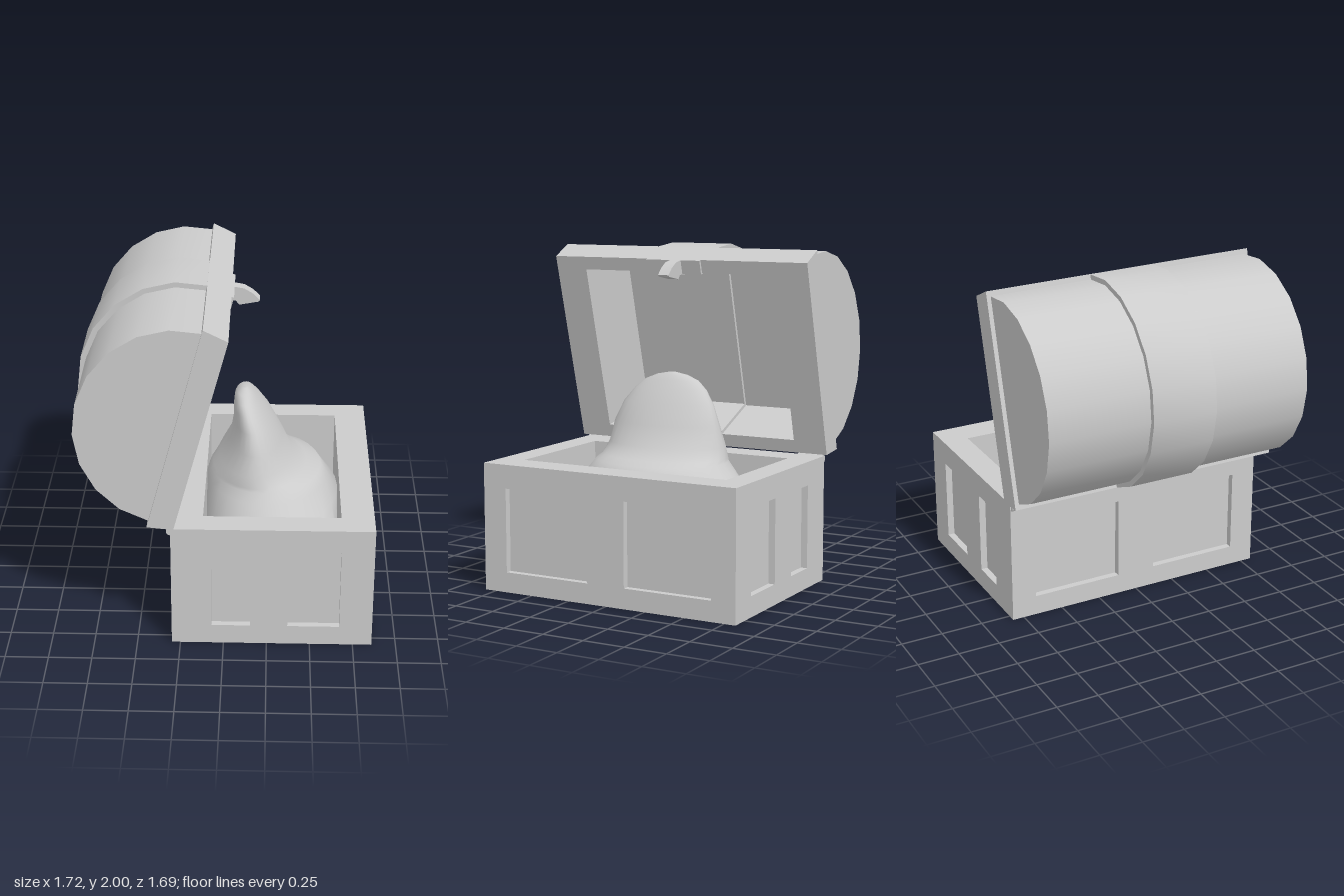
import * as THREE from 'three';
import { toCreasedNormals } from 'three/addons/utils/BufferGeometryUtils.js';

const material = new THREE.MeshStandardMaterial({ color: 0xcccccc, side: THREE.DoubleSide });

function add(parent, name, geometry, x = 0, y = 0, z = 0) {
  const mesh = new THREE.Mesh(geometry, material);
  mesh.name = name;
  mesh.position.set(x, y, z);
  parent.add(mesh);
  return mesh;
}

// Skin between equal-length loops of points, with optional end caps
function loft(loops, capStart, capEnd, crease) {
  const n = loops[0].length, index = [];
  loops.slice(1).forEach((_, r) => {
    for (let i = 0; i < n; i++) {
      const a = r * n + i, b = r * n + (i + 1) % n;
      index.push(a, a + n, b, b, a + n, b + n);
    }
  });
  const last = (loops.length - 1) * n;
  for (let i = 1; i < n - 1; i++) {
    if (capStart) index.push(0, i, i + 1);
    if (capEnd) index.push(last, last + i + 1, last + i);
  }
  const g = new THREE.BufferGeometry();
  g.setAttribute('position', new THREE.Float32BufferAttribute(loops.flat(2), 3));
  g.setIndex(index);
  if (crease) return toCreasedNormals(g, crease);
  g.computeVertexNormals();
  return g;
}

const polygon = (points) => new THREE.Shape(points.map(([x, y]) => new THREE.Vector2(x, y)));

// Profile in x and y, extruded from z0 to z1
function slab(points, z0, z1) {
  const g = new THREE.ExtrudeGeometry(polygon(points), { depth: z1 - z0, bevelEnabled: false });
  g.translate(0, 0, z0);
  return toCreasedNormals(g, 0.5);
}

const rect = (x0, x1, y0, y1) => [[x0, y0], [x1, y0], [x1, y1], [x0, y1]];

// ---- Chest body ----
const X0 = -0.3, X1 = 0.86, Z = 0.82, H = 0.755, RECESS = 0.04;

function panelWall(a0, a1, panels) {
  const shape = polygon(rect(a0, a1, 0, H));
  for (const [p0, p1] of panels) shape.holes.push(polygon(rect(p0, p1, 0.12, 0.615)));
  return new THREE.ExtrudeGeometry(shape, { depth: RECESS, bevelEnabled: false });
}

function buildBody(parent) {
  const body = new THREE.Group();
  body.name = 'chestBody';
  parent.add(body);

  // Hollow core: outside, top rim, cavity and floor in one skin
  const loop = (x0, x1, z, y) => rect(x0, x1, -z, z).map(([x, w]) => [x, y, w]);
  const outer = (y) => loop(X0 + RECESS, X1 - RECESS, Z - RECESS, y);
  const inner = (y) => loop(-0.12, 0.67, 0.665, y);
  add(body, 'bodyCore', loft([outer(0), outer(H), inner(H), inner(0.1)], true, true, 0.5));

  // Walls with two sunken panels each
  const endPanels = [[-0.07, 0.155], [0.37, 0.67]];
  const longPanels = [[-0.67, -0.12], [0.12, 0.67]];
  add(body, 'frontWall', panelWall(X0, X1, endPanels), 0, 0, Z - RECESS);
  add(body, 'backWall', panelWall(X0, X1, endPanels), 0, 0, -Z);
  for (const [name, x] of [['leftWall', X1 - RECESS], ['rightWall', X0]]) {
    add(body, name, panelWall(-Z + RECESS, Z - RECESS, longPanels), x).rotation.y = Math.PI / 2;
  }

  // Hinge barrels
  for (const z of [-0.735, 0.735]) {
    add(body, 'hinge', new THREE.CylinderGeometry(0.025, 0.025, 0.16, 10), -0.3, 0.737, z).rotation.x = Math.PI / 2;
  }
}

// ---- Mound heaped inside ----
function buildMound(parent) {
  // height, x from, x to, half width in z
  const rows = [
    [0.3, -0.22, 0.82, 0.72], [0.45, -0.19, 0.76, 0.65], [0.6, -0.15, 0.67, 0.53],
    [0.7, -0.12, 0.6, 0.45], [0.755, -0.1, 0.565, 0.405], [0.775, -0.085, 0.48, 0.395],
    [0.84, -0.05, 0.39, 0.375], [0.96, 0.02, 0.33, 0.345], [1.08, 0.04, 0.265, 0.295],
    [1.16, 0.04, 0.21, 0.235], [1.21, 0.045, 0.172, 0.175], [1.24, 0.06, 0.145, 0.1],
    [1.255, 0.09, 0.12, 0.02],
  ];
  const sides = 28;
  const clamp = THREE.MathUtils.clamp;
  const loops = rows.map(([y, x0, x1, w]) => Array.from({ length: sides }, (_, i) => {
    const a = i / sides * Math.PI * 2;
    const x = (x0 + x1) / 2 + Math.cos(a) * (x1 - x0) / 2;
    const z = -0.015 + Math.sin(a) * w;
    return [clamp(x, -0.12, 0.67), y, clamp(z, -0.665, 0.665)];
  }));
  add(parent, 'mound', loft(loops, false, true));
}

// ---- Open lid: local y runs up the opening, -x runs into the lid ----
function buildLid(parent) {
  const lid = new THREE.Group();
  lid.name = 'lid';
  lid.position.set(-0.28, 0.765, 0);
  lid.rotation.z = -0.263;
  parent.add(lid);

  // Rim and tapered cavity as one skin
  const loop = (x, y0, y1, z) => rect(y0, y1, -z, z).map(([y, w]) => [x, y, w]);
  add(lid, 'lidRim', loft([
    loop(-0.35, 0.128, 1.06, 0.55), loop(0, 0.08, 1.11, 0.64),
    loop(0, 0, 1.19, 0.845), loop(-0.149, -0.025, 1.22, 0.845), loop(-0.149, 0.05, 1.14, 0.75),
  ], true, false, 0.3));

  // Rounded skin: a half ellipse in ten facets
  const arc = (depth, half) => Array.from({ length: 11 }, (_, i) => {
    const a = i / 10 * Math.PI;
    return [-0.149 - Math.sin(a) * depth, 0.597 - Math.cos(a) * half];
  });
  const skin = (points, z0, z1) => {
    const loops = [z0, z1].map((z) => points.map(([x, y]) => [x, y, z]));
    // Drop the closing strip so the cavity stays clear
    const g = loft(loops, false, false);
    g.setIndex(Array.from(g.index.array).slice(0, -6));
    return toCreasedNormals(g, 0.5);
  };
  add(lid, 'lidBarrel', skin(arc(0.56, 0.592), -0.82, 0.82));
  add(lid, 'lidBand', skin(arc(0.592, 0.622), -0.2, 0.2));

  // End faces of the barrel and the raised edges of the band
  for (const side of [-1, 1]) {
    add(lid, 'lidEnd', new THREE.ShapeGeometry(polygon(arc(0.56, 0.592)), 1), 0, 0, side * 0.82);
    const edge = polygon(arc(0.592, 0.622).concat(arc(0.55, 0.58).reverse()));
    add(lid, 'bandEdge', new THREE.ShapeGeometry(edge, 1), 0, 0, side * 0.2);
  }

  // Band carried over the rim and through the cavity
  add(lid, 'bandTopTab', slab(rect(-0.02, 0.015, 1.105, 1.19), -0.16, 0.2));
  add(lid, 'bandBottomTab', slab(rect(-0.02, 0.012, 0.0, 0.09), -0.16, 0.2));
  add(lid, 'bandLining', slab(rect(-0.35, -0.33, 0.127, 1.06), -0.16, 0.16));
  add(lid, 'bandLowerLining', slab([[0, 0.08], [-0.35, 0.128], [-0.35, 0.148], [0, 0.1]], -0.16, 0.16));
}

export function createModel() {
  const model = new THREE.Group();
  model.name = 'openChest';
  buildBody(model);
  buildMound(model);
  buildLid(model);

  // Curved latch on the lid edge
  add(model, 'latch', slab([
    [-0.01, 1.825], [0.05, 1.825], [0.07, 1.8], [0.18, 1.82], [0.19, 1.83],
    [0.15, 1.87], [0.1, 1.9], [0.02, 1.915],
  ], -0.035, 0.035));
  return model;
}
